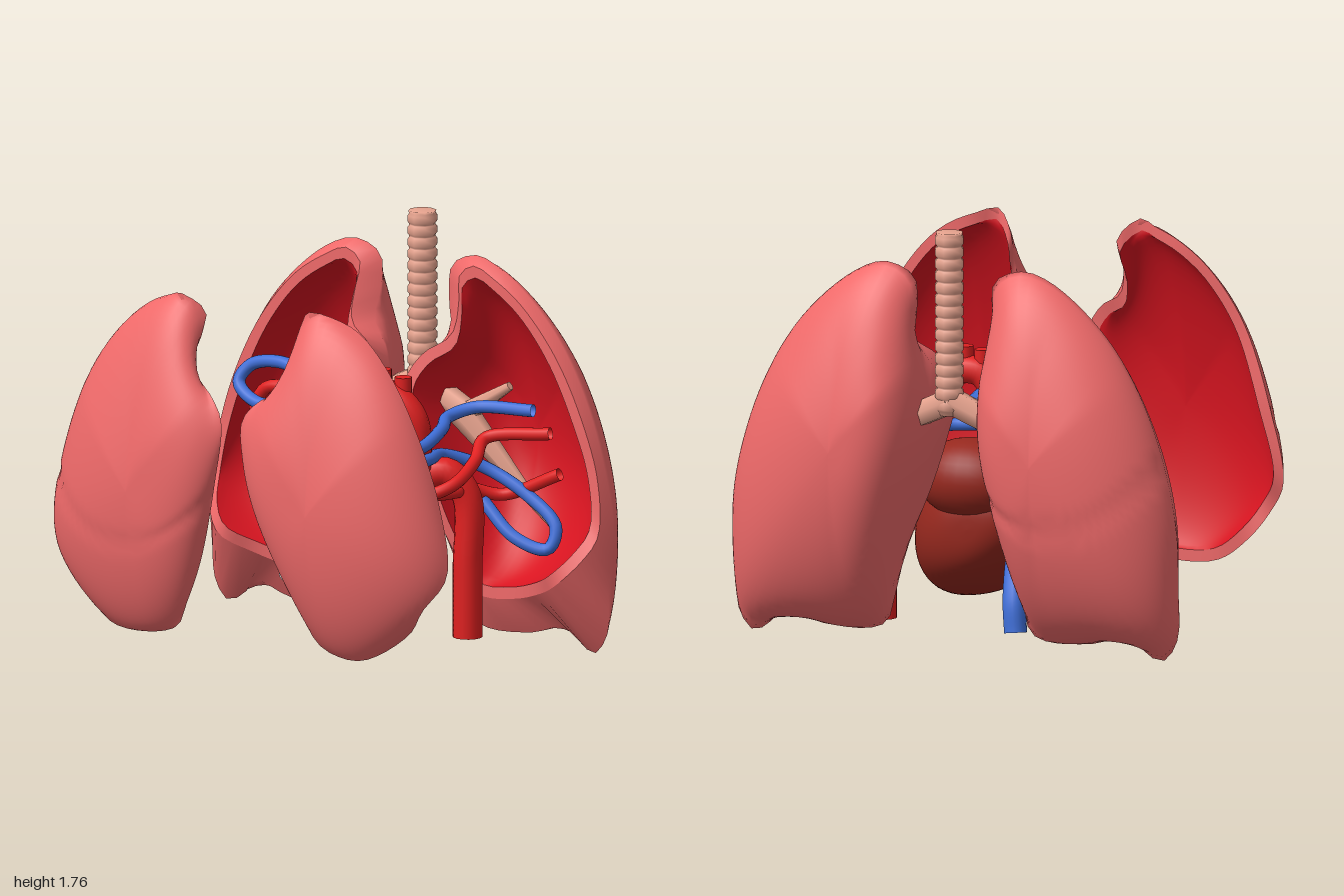
import * as THREE from 'three';

const V = (p) => new THREE.Vector3(...p);
const mat = (color) => new THREE.MeshStandardMaterial({ color, side: THREE.DoubleSide });
const PINK = mat(0xf06a6a), INNER = mat(0xd81420), RED = mat(0xe02020), BLUE = mat(0x3f6fd8),
  MUSCLE = mat(0x96281e), CUT = mat(0xe0857a), AIRWAY = mat(0xe8a48f), GREY = mat(0xcccccc);

function add(parent, name, geometry, material) {
  const m = new THREE.Mesh(geometry, material);
  m.name = name;
  parent.add(m);
  return m;
}

// Surface through a list of equally long closed rings
function loft(rings) {
  const n = rings[0].length, pos = rings.flat().flatMap((v) => [v.x, v.y, v.z]), idx = [];
  for (let k = 0; k < rings.length - 1; k++) {
    for (let i = 0; i < n; i++) {
      const a = k * n + i, b = k * n + (i + 1) % n;
      idx.push(a, b, a + n, b, b + n, a + n);
    }
  }
  const g = new THREE.BufferGeometry();
  g.setAttribute('position', new THREE.Float32BufferAttribute(pos, 3));
  g.setIndex(idx);
  g.computeVertexNormals();
  return g;
}

// Rings of an elliptic dome; full(v) sets how boxy each side is, the loop softens towards the apex
function domeRings(rim, apex, full, groove = () => 0, steps = 22) {
  const rings = [], n = rim.length;
  let loop = rim;
  for (let k = 0; k <= steps; k++) {
    const a = (k / steps) * Math.PI / 2;
    rings.push(loop.map((v) => {
      let s = k === steps ? 0 : Math.pow(Math.cos(a), full(v)), h = Math.sin(a);
      const g = 1 - groove(apex.x + (v.x - apex.x) * s, apex.y + (v.y - apex.y) * s);
      if (k > 0) { s *= g; h *= g; }
      return new THREE.Vector3(apex.x + (v.x - apex.x) * s, apex.y + (v.y - apex.y) * s, v.z + (apex.z - v.z) * h);
    }));
    const old = loop;
    loop = old.map((v, i) => v.clone().multiplyScalar(0.5)
      .addScaledVector(old[(i + 2) % n], 0.25).addScaledVector(old[(i + n - 2) % n], 0.25));
  }
  return rings;
}

const closedLoop = (pts, n) =>
  new THREE.CatmullRomCurve3(pts.map(V), true, 'centripetal').getSpacedPoints(n).slice(0, n);

// Half lung: skin from the opening over the widest outline to the apex, red lining, rim between
function lungShell(name, opening, outline, apex, side) {
  const g = new THREE.Group();
  g.name = name;
  const top = V(apex);
  const mouth = closedLoop(opening, 80), widest = closedLoop(outline, 80);
  const lip = mouth.map((v) => {
    const d = new THREE.Vector3(top.x - v.x, top.y - v.y, 0);
    return v.clone().addScaledVector(d.normalize(), 0.05);
  });
  const { clamp } = THREE.MathUtils;
  const full = (v) => 1 - 0.55 * clamp((top.x - v.x) / 0.35, 0, 1) + 0.4 * clamp((v.y - 1.2) / 0.3, 0, 1);
  // only the right lung carries the curved fissure
  const groove = (x, y) => side > 0 ? 0
    : 0.025 * Math.exp(-(((y - 0.57 - 1.35 * (x - 0.5) ** 2) / 0.03) ** 2));
  const inside = top.clone();
  inside.z -= Math.sign(top.z) * 0.05;
  const skin = domeRings(widest, top, full, groove);
  add(g, name + 'Skin', loft(opening === outline ? skin : [mouth, ...skin]), PINK);
  add(g, name + 'Lining', loft(domeRings(lip, inside, full)), INNER);
  add(g, name + 'Rim', loft([mouth, lip]), PINK);
  g.scale.x = side;
  return g;
}

function tube(parent, name, pts, r, material) {
  const curve = new THREE.CatmullRomCurve3(pts.map(V), false, 'centripetal');
  return add(parent, name, new THREE.TubeGeometry(curve, pts.length * 8, r, 14), material);
}

// Tapered branch between two points
function taper(parent, name, a, b, r1, r2) {
  const p = V(a), q = V(b), d = q.clone().sub(p);
  const m = add(parent, name, new THREE.CylinderGeometry(r2, r1, d.length(), 6), AIRWAY);
  m.position.copy(p).lerp(q, 0.5);
  m.quaternion.setFromUnitVectors(new THREE.Vector3(0, 1, 0), d.normalize());
}

function createModel() {
  const model = new THREE.Group();
  model.name = 'heartAndLungs';

  // Front lung covers; the left one is cut back around the heart
  const frontSide = [[0.32, 1.62, 0.66], [0.4, 1.6, 0.62], [0.52, 1.55, 0.6], [0.65, 1.44, 0.61], [0.8, 1.22, 0.62],
    [0.93, 0.86, 0.6], [0.98, 0.56, 0.62], [0.9, 0.42, 0.68], [0.81, 0.3, 0.65], [0.62, 0.18, 0.71]];
  const frontInner = {
    left: [[0.45, 0.2, 0.72], [0.38, 0.26, 0.73], [0.29, 0.45, 0.74], [0.18, 0.63, 0.75]],
    right: [[0.31, 0.21, 0.72], [0.25, 0.32, 0.73], [0.17, 0.52, 0.74]],
  };
  const frontTop = [[0.09, 0.85, 0.76], [0.05, 1.13, 0.77], [0.11, 1.22, 0.75], [0.22, 1.29, 0.69],
    [0.245, 1.4, 0.66], [0.24, 1.54, 0.6]];

  // Back lung halves: widest outline and the smaller forward opening
  const backOutline = [[0.3, 1.625, -0.61], [0.4, 1.6, -0.6], [0.55, 1.5, -0.6], [0.72, 1.32, -0.6], [0.86, 1.07, -0.6],
    [0.95, 0.8, -0.6], [0.995, 0.55, -0.6], [0.99, 0.33, -0.57], [0.985, 0.1, -0.57], [0.92, 0.01, -0.57],
    [0.85, 0.04, -0.58], [0.78, 0.11, -0.57], [0.6, 0.06, -0.57], [0.33, 0.08, -0.56], [0.28, 0.3, -0.55],
    [0.2, 0.55, -0.54], [0.12, 0.85, -0.54], [0.1, 1.06, -0.55], [0.12, 1.19, -0.56], [0.19, 1.3, -0.58],
    [0.17, 1.43, -0.6], [0.18, 1.57, -0.61]];
  const backOpening = [[0.32, 1.59, -0.56], [0.42, 1.55, -0.555], [0.57, 1.45, -0.55], [0.74, 1.25, -0.55],
    [0.87, 1, -0.55], [0.95, 0.75, -0.55], [0.97, 0.52, -0.52], [0.93, 0.42, -0.45], [0.85, 0.33, -0.4],
    [0.72, 0.26, -0.46], [0.55, 0.21, -0.5], [0.39, 0.21, -0.5], [0.32, 0.32, -0.48], [0.21, 0.55, -0.44],
    [0.11, 0.85, -0.42], [0.06, 1.08, -0.43], [0.13, 1.21, -0.46], [0.25, 1.3, -0.5], [0.26, 1.43, -0.54],
    [0.25, 1.54, -0.56]];
  for (const [label, side] of [['left', 1], ['right', -1]]) {
    const front = [...frontSide, ...frontInner[label], ...frontTop];
    model.add(lungShell(label + 'FrontLung', front, front, [0.45, 0.8, 0.89], side));
    model.add(lungShell(label + 'BackLung', backOpening, backOutline, [0.45, 0.85, -0.9], side));
  }

  // Windpipe with cartilage rings, and the bronchi
  const profile = [new THREE.Vector2(0.045, 1)];
  for (let i = 0; i < 15; i++) {
    const y = 1.02 + i * 0.05;
    profile.push(new THREE.Vector2(0.056, y), new THREE.Vector2(0.064, y + 0.01),
      new THREE.Vector2(0.064, y + 0.034), new THREE.Vector2(0.056, y + 0.044));
  }
  profile.push(new THREE.Vector2(0.06, 1.775), new THREE.Vector2(0, 1.775));
  add(model, 'windpipe', new THREE.LatheGeometry(profile, 8), AIRWAY).position.set(0.01, 0, -0.64);
  for (const s of [1, -1]) {
    taper(model, 'mainBronchus', [0, 1.06, -0.64], [0.26 * s, 0.94, -0.62], 0.06, 0.055);
    taper(model, 'lowerBronchus', [0.22 * s, 0.95, -0.62], [0.68 * s, 0.5, -0.63], 0.065, 0.01);
    taper(model, 'upperBronchus', [0.22 * s, 0.93, -0.62], [0.45 * s, 1.08, -0.64], 0.05, 0.02);
  }

  // Heart: rounded back, flat tilted cut in front
  const heart = new THREE.Group();
  heart.name = 'heart';
  model.add(heart);
  const cutZ = (y) => 0.1 - 0.17 * y;
  const outline = [[-0.28, 0.42], [-0.32, 0.53], [-0.28, 0.66], [-0.14, 0.71], [0.06, 0.73], [0.25, 0.71], [0.36, 0.55],
    [0.42, 0.32], [0.38, 0.13], [0.28, 0.09], [0.12, 0.105], [-0.04, 0.18], [-0.17, 0.33]];
  const edge = closedLoop(outline.map(([x, y]) => [x, y, cutZ(y)]), 56);
  add(heart, 'heartMuscle', loft(domeRings(edge, V([0.06, 0.45, -0.33]), () => 0.65)), MUSCLE);
  add(heart, 'heartCutFace', loft(domeRings(edge, V([0.06, 0.45, cutZ(0.45)]), () => 1, undefined, 3)), CUT);
  const atrium = add(heart, 'backAtrium', new THREE.SphereGeometry(1, 28, 18), MUSCLE);
  atrium.scale.set(0.24, 0.17, 0.18);
  atrium.position.set(0.08, 0.65, -0.22);

  // Grey chamber castings standing on the cut
  const chambers = new THREE.Group();
  chambers.name = 'chambers';
  chambers.position.z = 0.1;
  chambers.rotation.x = -0.17;
  heart.add(chambers);
  const chamber = (name, pts, depth) => {
    const shape = new THREE.Shape(pts.map((p) => new THREE.Vector2(...p)));
    add(chambers, name, new THREE.ExtrudeGeometry(shape, {
      depth, bevelThickness: 0.03, bevelSize: 0.025, bevelOffset: -0.02, bevelSegments: 2, steps: 1,
    }), GREY);
  };
  chamber('rightVentricle', [[-0.21, 0.42], [-0.18, 0.32], [-0.08, 0.24], [0.03, 0.18], [0.14, 0.155], [0.17, 0.19],
    [0.15, 0.24], [0.1, 0.33], [0.07, 0.45], [0.06, 0.6], [0.04, 0.7], [-0.03, 0.7], [-0.08, 0.62], [-0.06, 0.46],
    [-0.11, 0.43]], 0.08);
  chamber('leftVentricle', [[0.055, 0.62], [0.1, 0.53], [0.17, 0.42], [0.2, 0.3], [0.22, 0.19], [0.3, 0.19],
    [0.31, 0.37], [0.27, 0.51], [0.18, 0.62], [0.1, 0.66]], 0.07);
  chamber('rightAtrium', [[-0.28, 0.46], [-0.2, 0.42], [-0.11, 0.46], [-0.09, 0.56], [-0.12, 0.68], [-0.2, 0.72],
    [-0.28, 0.65], [-0.3, 0.55]], 0.07);
  chamber('leftAtrium', [[0.09, 0.69], [0.2, 0.63], [0.28, 0.55], [0.31, 0.61], [0.24, 0.7], [0.12, 0.77]], 0.05);

  // Aortic arch with stubs, and the descending aorta behind the heart
  tube(model, 'aorticArch', [[0.04, 0.66, -0.07], [-0.02, 0.82, -0.12], [-0.01, 0.98, -0.16], [0.06, 1.09, -0.17],
    [0.17, 1.09, -0.18], [0.26, 1, -0.2], [0.27, 0.85, -0.22], [0.24, 0.7, -0.24]], 0.06, RED);
  tube(model, 'descendingAorta', [[0.25, 0.74, -0.27], [0.35, 0.76, -0.32], [0.42, 0.66, -0.36], [0.425, 0.35, -0.36],
    [0.425, 0.06, -0.36]], 0.062, RED);
  const end = add(model, 'aortaEnd', new THREE.CircleGeometry(0.062, 14), RED);
  end.rotation.x = Math.PI / 2;
  end.position.set(0.425, 0.06, -0.36);
  for (const [x, y, z] of [[0.05, 1.13, -0.17], [0.13, 1.14, -0.17], [0.21, 1.11, -0.2]]) {
    add(model, 'archBranch', new THREE.CylinderGeometry(0.036, 0.036, 0.12, 14), RED).position.set(x, y, z);
  }

  // Large veins and pulmonary trunk
  tube(model, 'upperVenaCava', [[0, 1.19, -0.03], [-0.08, 1.13, -0.14], [-0.18, 1.02, -0.2], [-0.24, 0.85, -0.18],
    [-0.22, 0.62, -0.1]], 0.062, BLUE);
  tube(model, 'lowerVenaCava', [[-0.235, 0.07, -0.51], [-0.22, 0.2, -0.49], [-0.19, 0.36, -0.38], [-0.16, 0.46, -0.22]],
    0.048, BLUE);
  tube(model, 'pulmonaryTrunk', [[0.01, 0.66, 0.04], [0.05, 0.77, 0.04], [0.1, 0.88, -0.03], [0.06, 0.95, -0.16],
    [-0.05, 1, -0.3], [-0.22, 1, -0.4], [-0.36, 0.98, -0.45]], 0.064, BLUE);

  // Thin pulmonary vessels, looping through the lungs
  const vessels = [
    [BLUE, [[0.07, 0.8, 0.02], [0.2, 0.87, 0.08], [0.35, 0.9, 0.06], [0.38, 0.91, -0.08], [0.35, 0.95, -0.28],
      [0.29, 0.97, -0.42], [0.36, 1, -0.52], [0.62, 1.01, -0.56]]],
    [BLUE, [[0.1, 0.84, -0.01], [0.26, 0.83, -0.04], [0.33, 0.83, -0.18], [0.3, 0.82, -0.36], [0.4, 0.76, -0.5],
      [0.58, 0.66, -0.55], [0.74, 0.53, -0.55], [0.72, 0.44, -0.52], [0.58, 0.48, -0.48], [0.42, 0.62, -0.48]]],
    [BLUE, [[-0.3, 0.99, -0.44], [-0.45, 1.03, -0.49], [-0.62, 1.07, -0.52], [-0.77, 1.04, -0.52], [-0.81, 0.97, -0.49],
      [-0.7, 0.9, -0.46], [-0.48, 0.92, -0.46], [-0.3, 0.97, -0.43]]],
    [RED, [[0.22, 0.7, -0.2], [0.38, 0.7, -0.13], [0.46, 0.74, -0.2], [0.45, 0.81, -0.38], [0.42, 0.88, -0.5],
      [0.7, 0.92, -0.57]]],
    [RED, [[0.22, 0.68, -0.22], [0.35, 0.69, -0.15], [0.42, 0.69, -0.28], [0.38, 0.68, -0.42], [0.48, 0.64, -0.54],
      [0.74, 0.75, -0.58]]],
    [RED, [[-0.06, 0.78, -0.3], [-0.2, 0.86, -0.45], [-0.4, 0.93, -0.53], [-0.7, 0.95, -0.54], [-0.76, 0.84, -0.54],
      [-0.6, 0.75, -0.53], [-0.35, 0.72, -0.48], [-0.06, 0.7, -0.3]]],
  ];
  for (const [m, pts] of vessels) tube(model, m === BLUE ? 'pulmonaryArtery' : 'pulmonaryVein', pts, 0.027, m);

  return model;
}

export { createModel };
